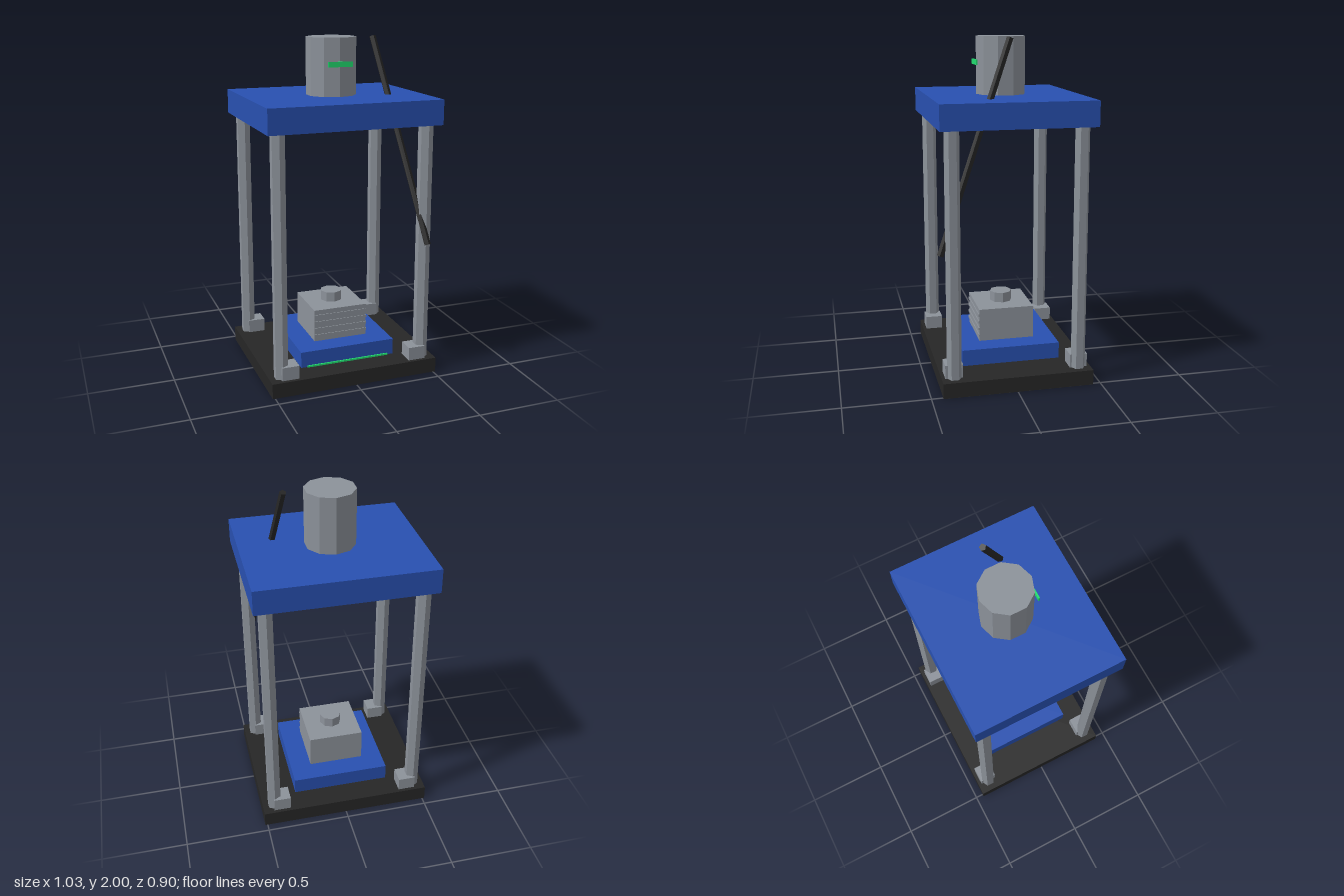
import * as THREE from 'three';

const material = (name, color) => {
  const m = new THREE.MeshStandardMaterial({ color, flatShading: true });
  m.name = name;
  return m;
};

export function createModel() {
  const steel = material('steel grey', 0x8c929a);
  const blue = material('frame blue', 0x2850b0);
  const dark = material('charcoal', 0x262626);
  const green = material('indicator green', 0x22dd70);

  const model = new THREE.Group();
  model.name = 'pressFrame';
  const body = new THREE.Group();
  body.name = 'body';
  body.position.z = -0.01;
  model.add(body);

  const add = (name, geometry, mat, x, y, z) => {
    const mesh = new THREE.Mesh(geometry, mat);
    mesh.name = name;
    mesh.position.set(x, y, z);
    body.add(mesh);
    return mesh;
  };
  // Boxes and prisms are placed by their bottom height
  const box = (name, mat, w, h, d, x, y, z) =>
    add(name, new THREE.BoxGeometry(w, h, d), mat, x, y + h / 2, z);
  const prism = (name, mat, r, h, sides, x, y, z) =>
    add(name, new THREE.CylinderGeometry(r, r, h, sides), mat, x, y + h / 2, z);

  // Base and top plates
  box('basePlate', dark, 1.03, 0.09, 0.885, 0, 0, 0);
  box('topPlate', blue, 1.03, 0.145, 0.885, 0, 1.517, 0);

  // Four hexagonal columns with corner brackets
  for (const sx of [-1, 1]) {
    for (const sz of [-1, 1]) {
      prism('column', steel, 0.043, 1.427, 6, sx * 0.442, 0.09, sz * 0.368);
      box('bracket', steel, 0.103, 0.08, 0.103, sx * 0.398, 0.09, sz * 0.37);
    }
  }

  // Upper cylinder with its indicator strip
  prism('topCylinder', steel, 0.147, 0.334, 10, 0, 1.662, 0);
  box('cylinderIndicator', green, 0.148, 0.03, 0.009, 0, 1.833, 0.155);

  // Lower platform with a glowing strip along the front
  box('platform', blue, 0.59, 0.097, 0.59, 0, 0.09, 0);
  box('platformStrip', green, 0.515, 0.01, 0.009, 0, 0.09, 0.299);

  // Ribbed block and octagonal knob
  box('block', steel, 0.334, 0.198, 0.334, 0, 0.187, 0);
  for (let i = 0; i < 4; i++) {
    box('blockRib', steel, 0.338, 0.015, 0.008, 0, 0.215 + i * 0.042, 0.168);
  }
  prism('knob', steel, 0.067, 0.06, 8, 0, 0.385, 0);

  // Slanted cable passing through the top plate
  const top = new THREE.Vector3(0.258, 1.992, 0.003);
  const bottom = new THREE.Vector3(0.439, 0.817, 0.438);
  const axis = top.clone().sub(bottom);
  const cable = add('cable', new THREE.CylinderGeometry(0.02, 0.02, axis.length(), 5), dark, 0, 0, 0);
  cable.position.copy(top).add(bottom).multiplyScalar(0.5);
  cable.quaternion.setFromUnitVectors(new THREE.Vector3(0, 1, 0), axis.normalize());

  return model;
}
